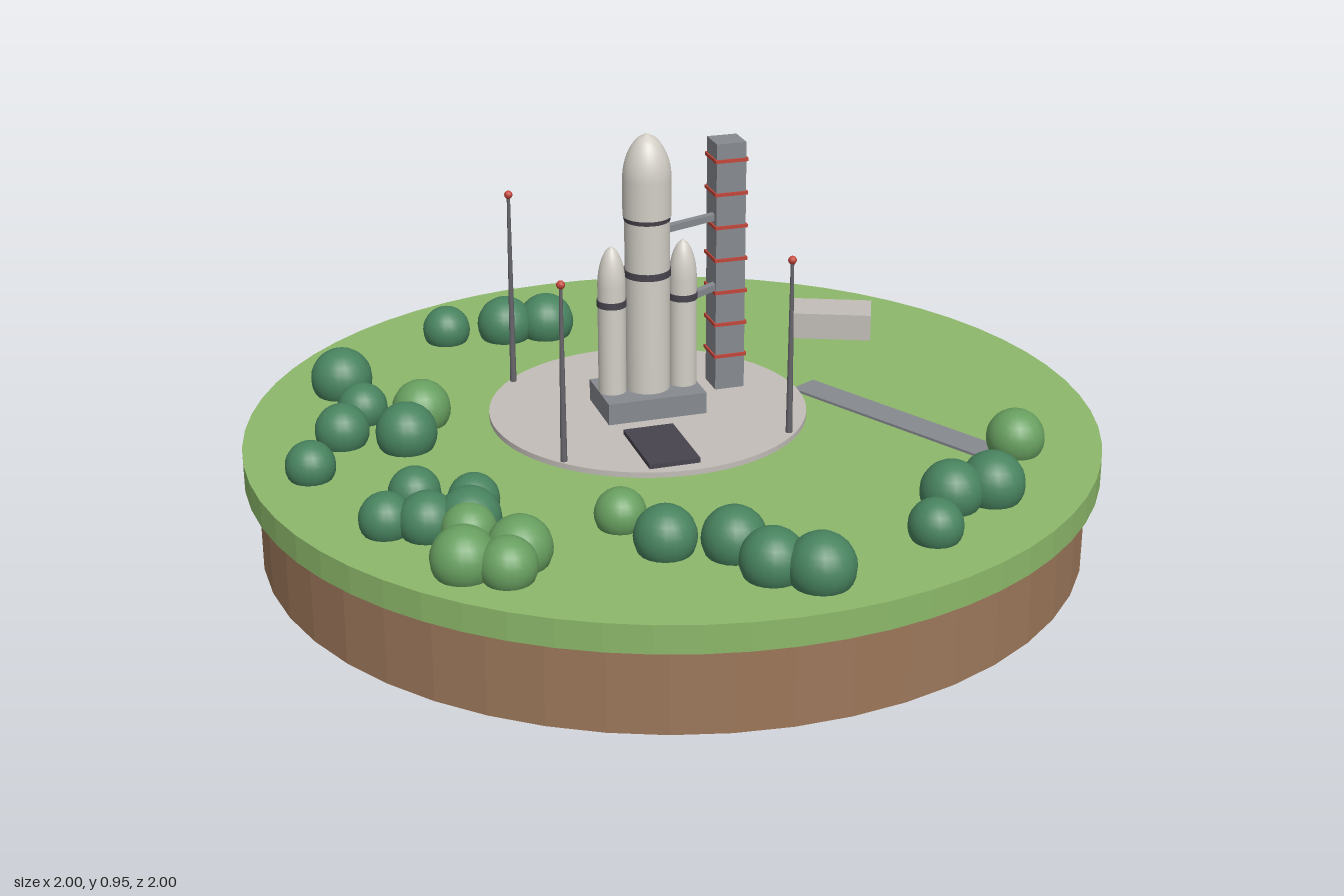
import * as THREE from 'three';

const mat = (name, color, extra = {}) => {
  const m = new THREE.MeshStandardMaterial({ color, ...extra });
  m.name = name;
  return m;
};

export function createModel() {
  const root = new THREE.Group();
  root.name = 'launchSite';

  const earth = mat('earth', 0x9c775a, { flatShading: true });
  const grass = mat('grass', 0x8cb86a, { flatShading: true });
  const concrete = mat('concrete', 0xc2bdb8);
  const hull = mat('hull', 0xd2cec6);
  const dark = mat('dark', 0x48444e);
  const steel = mat('steel', 0x86898f);
  const mastGrey = mat('mastGrey', 0x66666c);
  const red = mat('red', 0xc2463a);
  const darkLeaf = mat('darkLeaf', 0x48835f);
  const lightLeaf = mat('lightLeaf', 0x689f60);

  const add = (parent, name, geo, material, x = 0, y = 0, z = 0, ry = 0) => {
    const m = new THREE.Mesh(geo, material);
    m.name = name;
    m.position.set(x, y, z);
    m.rotation.y = ry;
    parent.add(m);
    return m;
  };
  const box = (w, h, d) => new THREE.BoxGeometry(w, h, d);
  const cyl = (rt, rb, h, n = 24) => new THREE.CylinderGeometry(rt, rb, h, n);

  // Round island
  const GROUND = 0.265;
  add(root, 'earthBase', cyl(0.97, 0.97, 0.2, 48), earth, 0, 0.1, 0);
  add(root, 'grassTop', cyl(1, 1, 0.065, 64), grass, 0, 0.2325, 0);

  // Road and bunker
  add(root, 'road', box(0.076, 0.008, 0.63), steel, 0.428, GROUND + 0.002, 0.337, 0.145);
  add(root, 'bunker', box(0.204, 0.068, 0.114), concrete, 0.68, GROUND + 0.034, -0.213, -0.74);

  // Launch pad with everything aligned to its own axes
  const pad = new THREE.Group();
  pad.name = 'launchPad';
  pad.position.set(-0.012, 0, -0.08);
  pad.rotation.y = -0.34;
  root.add(pad);
  const PAD = 0.278;
  add(pad, 'padDisc', cyl(0.377, 0.377, 0.016, 64), concrete, 0, PAD - 0.008, 0);
  add(pad, 'launchMount', box(0.24, 0.052, 0.164), steel, 0, PAD + 0.026, 0);
  add(pad, 'flameTrench', box(0.12, 0.012, 0.205), dark, -0.042, PAD + 0.005, 0.242);

  // Rocket: straight body with an ogive nose
  const rocketBody = (name, r, y0, yShoulder, yTip, x) => {
    const pts = [new THREE.Vector2(0, y0), new THREE.Vector2(r, y0), new THREE.Vector2(r, y0)];
    for (let i = 0; i <= 10; i++) {
      const t = i / 10;
      pts.push(new THREE.Vector2(r * Math.pow(1 - t * t, 0.62), yShoulder + (yTip - yShoulder) * t));
    }
    return add(pad, name, new THREE.LatheGeometry(pts, 28), hull, x);
  };
  add(pad, 'coreStage', cyl(0.053, 0.053, 0.43, 28), hull, 0, 0.54, 0);
  add(pad, 'coreBand', cyl(0.0555, 0.0555, 0.016, 28), dark, 0, 0.62, 0);
  add(pad, 'interstageBand', cyl(0.056, 0.054, 0.012, 28), dark, 0, 0.752, 0);
  rocketBody('fairing', 0.057, 0.757, 0.845, 0.953, 0);
  for (const side of [-1, 1]) {
    rocketBody('booster', 0.033, PAD + 0.05, 0.595, 0.69, side * 0.087);
    add(pad, 'boosterBand', cyl(0.035, 0.035, 0.016), dark, side * 0.087, 0.552, 0);
  }

  // Service tower with red platform bands
  const TX = 0.222, TZ = -0.084, TOP = 0.895;
  add(pad, 'serviceTower', box(0.073, TOP - PAD, 0.073), steel, TX, (TOP + PAD) / 2, TZ);
  for (let i = 0; i < 7; i++) {
    add(pad, 'towerBand', box(0.081, 0.008, 0.081), red, TX, 0.853 - i * 0.0815, TZ);
  }

  // Access arms from the tower to the rocket
  const arm = (name, x, y) => {
    const dx = TX - x, len = Math.hypot(dx, TZ);
    add(pad, name, box(len, 0.016, 0.018), steel, (TX + x) / 2, y, TZ / 2, Math.atan2(-TZ, dx));
  };
  arm('upperArm', 0, 0.712);
  arm('lowerArm', 0.087, 0.54);

  // Lightning masts with red beacons
  for (const [x, z, top] of [[-0.18, -0.405, 0.755], [0.325, -0.22, 0.755], [-0.35, 0.058, 0.7], [0.158, 0.24, 0.7]]) {
    const h = top - 0.27;
    add(root, 'lightningMast', cyl(0.004, 0.008, h, 8), mastGrey, x, 0.27 + h / 2, z);
    add(root, 'mastBeacon', new THREE.SphereGeometry(0.01, 10, 8), red, x, top, z);
  }

  // Round bushes: x, z, radius
  const bushes = (name, material, list) => {
    for (const [x, z, r] of list) {
      add(root, name, new THREE.SphereGeometry(r, 20, 14), material, x, GROUND + r * 0.5, z);
    }
  };
  bushes('darkBush', darkLeaf, [
    [-0.147, -0.765, 0.06], [-0.013, -0.695, 0.071], [0.083, -0.65, 0.071], [-0.532, -0.625, 0.074],
    [-0.575, -0.45, 0.059], [-0.682, -0.358, 0.063], [-0.575, -0.25, 0.071], [-0.832, -0.235, 0.057],
    [-0.72, 0.025, 0.058], [-0.837, 0.102, 0.059], [-0.634, 0.128, 0.057], [-0.773, 0.165, 0.064],
    [-0.698, 0.213, 0.069], [-0.42, 0.53, 0.068], [-0.313, 0.625, 0.07], [-0.313, 0.75, 0.07],
    [-0.254, 0.834, 0.073], [0.067, 0.828, 0.06], [0.203, 0.733, 0.07], [0.302, 0.758, 0.072],
  ]);
  bushes('lightBush', lightLeaf, [
    [-0.473, -0.352, 0.069], [-0.725, 0.252, 0.06], [-0.81, 0.365, 0.07], [-0.692, 0.394, 0.07],
    [-0.75, 0.44, 0.062], [-0.425, 0.378, 0.057], [0.521, 0.61, 0.067],
  ]);

  return root;
}
